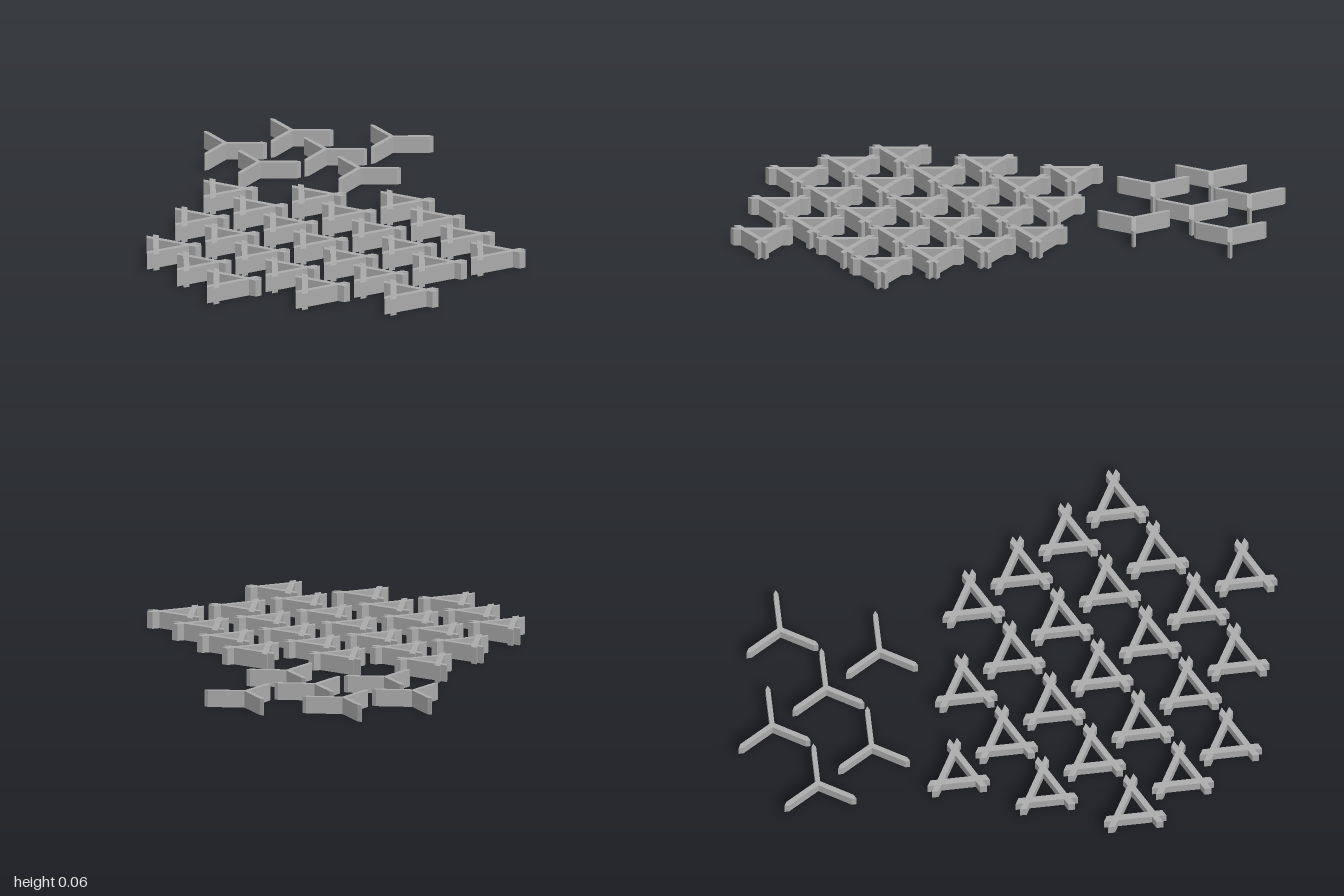
import * as THREE from 'three';

const HEIGHT = 0.063;

// Vertical prism from a plan outline given as [x, z] pairs
function prism(outline) {
  const shape = new THREE.Shape(outline.map(([x, z]) => new THREE.Vector2(x, -z)));
  const geo = new THREE.ExtrudeGeometry(shape, { depth: HEIGHT, bevelEnabled: false });
  return geo.rotateX(-Math.PI / 2);
}

export function createModel() {
  const model = new THREE.Group();
  const grey = new THREE.MeshStandardMaterial({ color: 0xaaaaaa });
  grey.name = 'grey';

  // Slat of a triangular frame: mitred ends, longer on its outer side
  const w = 0.022, half = 0.1165, r = 0.0405, cut = w / Math.tan(Math.PI / 3);
  const slatGeo = prism([
    [-half, r + w / 2], [half, r + w / 2],
    [half - cut, r - w / 2], [-half + cut, r - w / 2],
  ]);

  // Three-armed connector: one outline with pointed arm tips
  const t = 0.009, R = 0.155, taper = 0.0145;
  const outline = [];
  for (let i = 0; i < 3; i++) {
    const a = (i * 2 * Math.PI) / 3, c = Math.cos(a), s = Math.sin(a);
    const arm = [[t, -t / Math.sqrt(3)], [t, -R + taper], [0, -R], [-t, -R + taper]];
    for (const [x, z] of arm) outline.push([x * c + z * s, -x * s + z * c]);
  }
  const connectorGeo = prism(outline);

  // Triangular frames, as columns used in each row from back to front
  const rows = [[2], [1, 2, 3], [0, 1, 2, 3, 4], [0, 1, 2, 3, 4], [0, 1, 2, 3, 4], [1, 2, 3, 4], [2]];
  rows.forEach((columns, row) => {
    for (const column of columns) {
      const frame = new THREE.Group();
      frame.name = 'triangleFrame';
      for (let i = 0; i < 3; i++) {
        const slat = new THREE.Mesh(slatGeo, grey);
        slat.name = 'frameSlat';
        slat.rotation.y = (i * 2 * Math.PI) / 3;
        frame.add(slat);
      }
      frame.position.set(-0.6785 + column * 0.251, 0, -0.401 + row * 0.221);
      model.add(frame);
    }
  });

  // Three-armed connectors behind the frames
  for (const [column, row] of [[0, 0], [1, 0], [0, 1], [1, 1], [2, 1], [1, 2]]) {
    const connector = new THREE.Mesh(connectorGeo, grey);
    connector.name = 'connector';
    connector.position.set(0.09 + column * 0.285, 0, -0.845 + row * 0.248);
    model.add(connector);
  }
  return model;
}
